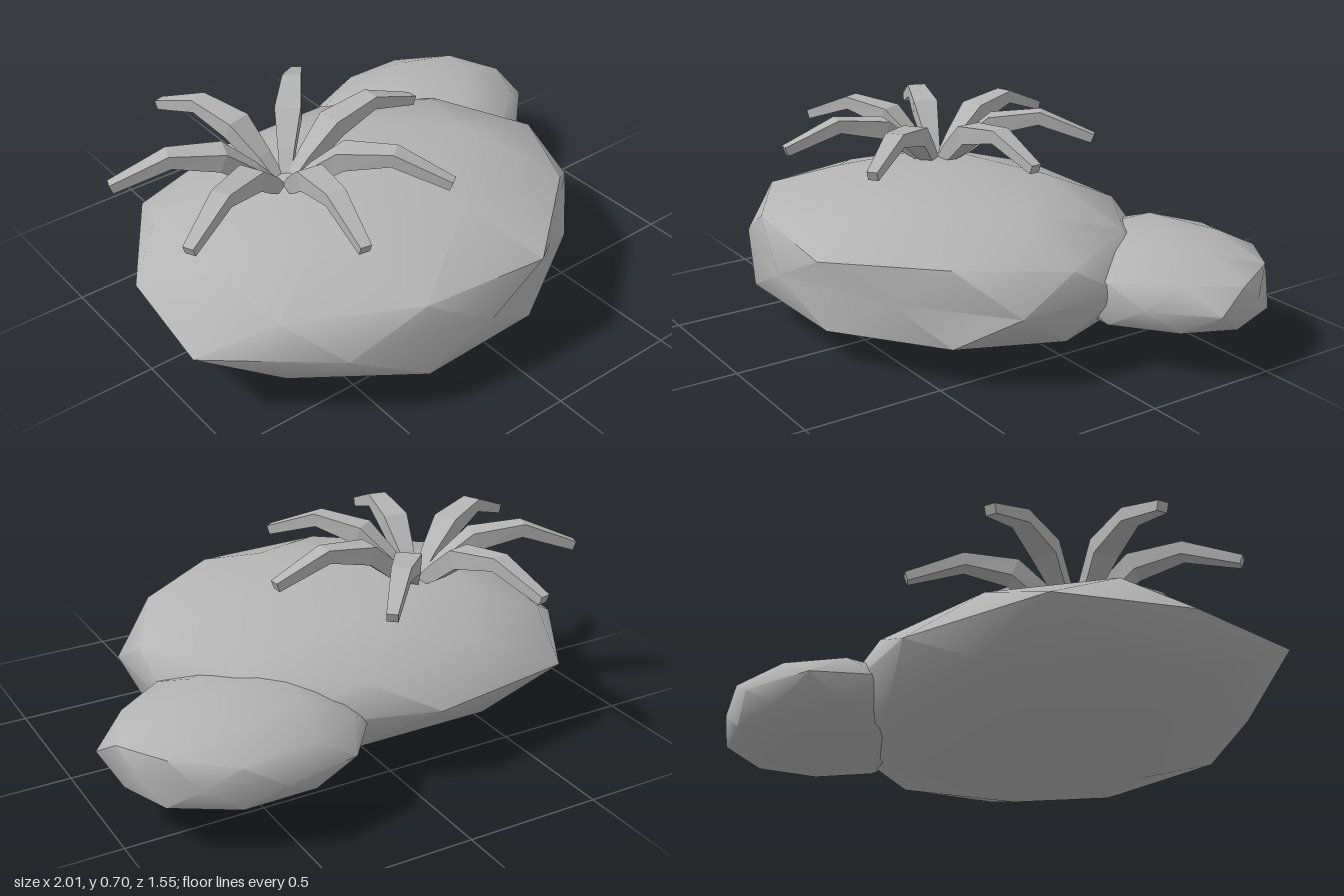
import * as THREE from 'three';
import { toCreasedNormals } from 'three/addons/utils/BufferGeometryUtils.js';

const stone = new THREE.MeshStandardMaterial({ color: 0xb4b4b4 });
stone.name = 'stoneGrey';

// Flattened low-poly boulder; rim holds ten radius factors around its widest ring
function boulder(name, [cx, cy, cz], [sx, sy, sz], rim) {
  const geo = new THREE.IcosahedronGeometry(1, 1);
  geo.rotateX(-Math.atan((1 + Math.sqrt(5)) / 2)); // one corner straight up
  geo.rotateY(Math.PI / 2);
  const p = geo.attributes.position;
  for (let i = 0; i < p.count; i++) {
    let x = p.getX(i), z = p.getZ(i);
    const y = p.getY(i);
    if (Math.abs(y) < 0.1) {
      const turn = Math.round((THREE.MathUtils.radToDeg(Math.atan2(z, x)) - 18) / 36);
      const k = rim[(turn + 10) % 10];
      x *= k;
      z *= k;
    } else {
      if (z > 0.7) z *= 1.07; // fuller front
      if (x < -0.8 && y > 0.5) x *= 0.9; // sloping shoulder
    }
    p.setXYZ(i, cx + x * sx, cy + y * sy, cz + z * sz);
  }
  const mesh = new THREE.Mesh(toCreasedNormals(geo, 0.95), stone);
  mesh.name = name;
  return mesh;
}

// Arching leaf sections: distance out, height, width, thickness
const SECTIONS = [
  [0.03, 0.49, 0.04, 0.03],
  [0.11, 0.555, 0.06, 0.06],
  [0.22, 0.645, 0.095, 0.07],
  [0.4, 0.675, 0.07, 0.05],
  [0.605, 0.598, 0.04, 0.035],
];

function leafGeometry() {
  const n = SECTIONS.length - 1;
  const box = new THREE.BoxGeometry(1, 1, 1, n, 1, 1);
  const p = box.attributes.position;
  for (let i = 0; i < p.count; i++) {
    const s = Math.round((p.getX(i) + 0.5) * n);
    const [r, y, w, t] = SECTIONS[s];
    const a = SECTIONS[Math.max(s - 1, 0)], b = SECTIONS[Math.min(s + 1, n)];
    const slope = Math.atan2(b[1] - a[1], b[0] - a[0]);
    const v = p.getY(i) * t;
    p.setXYZ(i, r - Math.sin(slope) * v, y + Math.cos(slope) * v, p.getZ(i) * w);
  }
  const flat = box.toNonIndexed();
  flat.computeVertexNormals();
  return flat;
}

export function createModel() {
  const model = new THREE.Group();
  model.name = 'rocksWithPlant';

  // Two overlapping rocks
  model.add(
    boulder('largeRock', [-0.12, 0.27, 0.09], [0.9, 0.27, 0.72],
      [0.945, 0.85, 0.945, 0.955, 1.04, 0.98, 1.08, 1.01, 0.98, 0.93]),
    boulder('smallRock', [0.55, 0.247, -0.4], [0.47, 0.165, 0.385],
      [1, 0.955, 0.98, 1, 1, 1, 1.03, 0.975, 0.9, 0.87]),
  );

  // Rosette of seven leaves
  const plant = new THREE.Group();
  plant.name = 'plant';
  plant.position.set(-0.375, 0, -0.05);
  const geo = leafGeometry();
  const angles = [-3, 54, 100, 155, 201, 256, 310];
  for (const deg of angles) {
    const leaf = new THREE.Mesh(geo, stone);
    leaf.name = 'leaf';
    leaf.rotation.y = -THREE.MathUtils.degToRad(deg);
    plant.add(leaf);
  }
  model.add(plant);
  return model;
}
